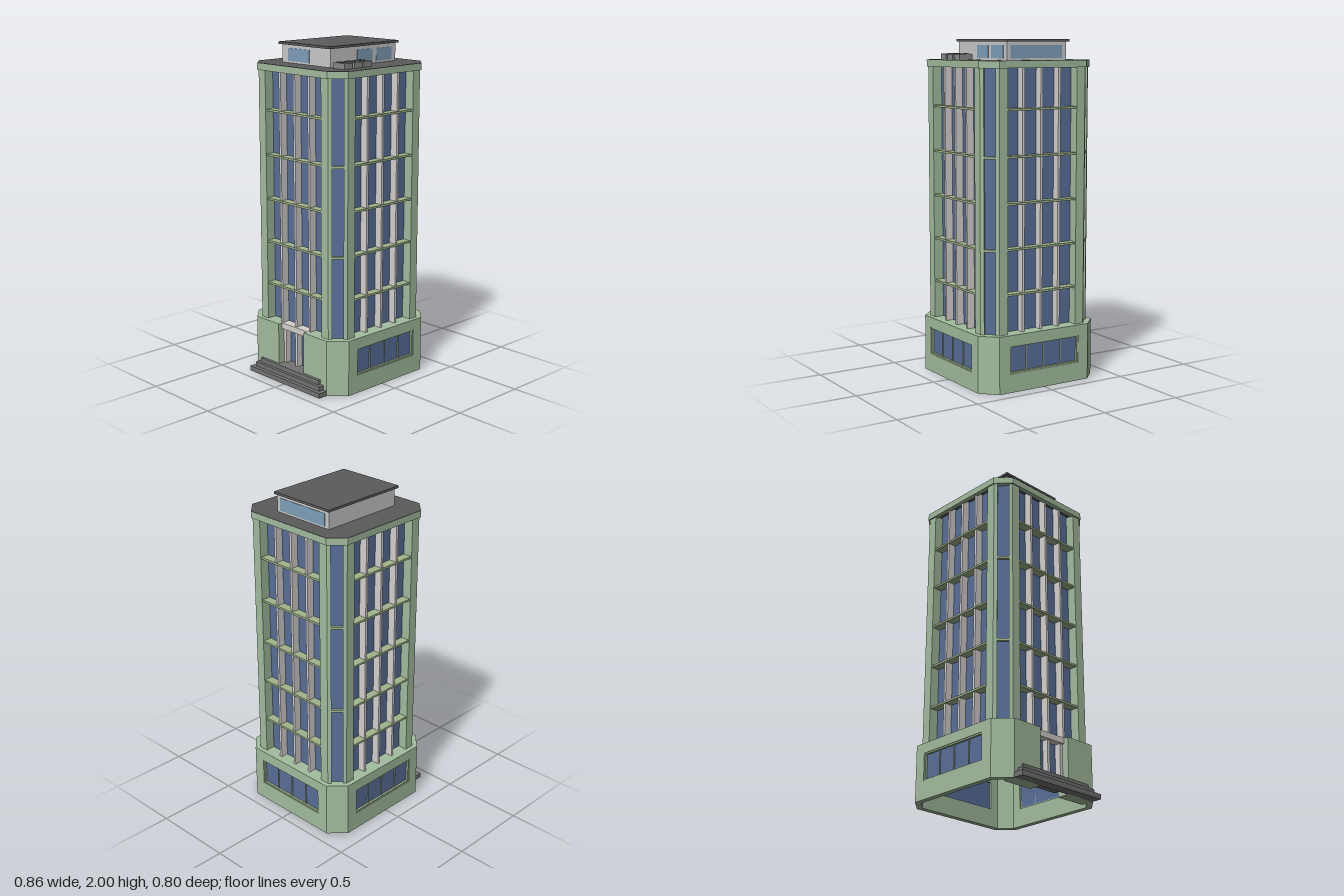
import * as THREE from 'three';

const mat = (name, color) => {
  const m = new THREE.MeshStandardMaterial({ color });
  m.name = name;
  return m;
};

export function createModel() {
  const green = mat('wall green', 0xa3bd9e);
  const trim = mat('trim green', 0xa2b58c);
  const glass = mat('blue glass', 0x586f9a);
  const paleGlass = mat('pale glass', 0x7fa0ba);
  const white = mat('fin white', 0xd6d2ce);
  const wall = mat('penthouse grey', 0xcacaca);
  const dark = mat('roof dark grey', 0x5b5b5b);
  const stone = mat('step grey', 0x737373);
  const metal = mat('unit grey', 0x8a8a8a);

  const model = new THREE.Group();
  model.name = 'officeTower';
  const tower = new THREE.Group();
  tower.name = 'building';
  tower.position.x = 0.0275;
  model.add(tower);

  const add = (parent, name, geo, m) => {
    const mesh = new THREE.Mesh(geo, m);
    mesh.name = name;
    parent.add(mesh);
    return mesh;
  };
  // Box given by its limits on each axis
  const box = (parent, name, m, x0, x1, y0, y1, z0, z1) => {
    const mesh = add(parent, name, new THREE.BoxGeometry(x1 - x0, y1 - y0, z1 - z0), m);
    mesh.position.set((x0 + x1) / 2, (y0 + y1) / 2, (z0 + z1) / 2);
    return mesh;
  };
  // Upright prism from a plan of [x, z] points, with an optional hole
  const prism = (parent, name, m, plan, y0, y1, hole) => {
    const toVec = ([x, z]) => new THREE.Vector2(x, -z);
    const shape = new THREE.Shape(plan.map(toVec));
    if (hole) shape.holes.push(new THREE.Path(hole.map(toVec)));
    const geo = new THREE.ExtrudeGeometry(shape, { depth: y1 - y0, bevelEnabled: false });
    geo.rotateX(-Math.PI / 2).translate(0, y0, 0);
    return add(parent, name, geo, m);
  };
  const octagon = (h, f) => [[-f, h], [f, h], [h, f], [h, -f], [f, -h], [-f, -h], [-h, -f], [-h, f]];
  const square = (h) => [[-h, h], [h, h], [h, -h], [-h, -h]];

  const BASE = 0.335, TOP = 1.84;

  // Four sides, each built facing +z and turned; side 3 holds the entrance
  for (let k = 0; k < 4; k++) {
    const side = new THREE.Group();
    side.name = 'side' + k;
    side.rotation.y = k * Math.PI / 2;
    tower.add(side);

    // Base wall
    if (k < 3) {
      const s = new THREE.Shape([[-0.308, 0], [0.308, 0], [0.308, BASE], [-0.308, BASE]]
        .map(([x, y]) => new THREE.Vector2(x, y)));
      s.holes.push(new THREE.Path([[-0.24, 0.11], [-0.24, 0.275], [0.24, 0.275], [0.24, 0.11]]
        .map(([x, y]) => new THREE.Vector2(x, y))));
      add(side, 'baseWall', new THREE.ExtrudeGeometry(s, { depth: 0.035, bevelEnabled: false }), green)
        .position.z = 0.363;
      box(side, 'baseWindow', glass, -0.24, 0.24, 0.11, 0.275, 0.375, 0.381);
      for (const x of [-0.12, 0, 0.12])
        box(side, 'baseMullion', trim, x - 0.003, x + 0.003, 0.11, 0.275, 0.375, 0.387);
      for (const s2 of [-1, 1]) {
        box(side, 'baseFrameSide', trim, s2 * 0.236 - 0.005, s2 * 0.236 + 0.005, 0.11, 0.275, 0.375, 0.394);
        box(side, 'baseFrameRail', trim, -0.24, 0.24, 0.1925 + s2 * 0.079 - 0.005, 0.1925 + s2 * 0.079 + 0.005, 0.375, 0.394);
      }
    } else {
      for (const s of [-1, 1]) {
        const x0 = s < 0 ? -0.308 : 0.11;
        box(side, 'entranceWall', green, x0, x0 + 0.198, 0, BASE, 0.315, 0.398);
      }
      box(side, 'canopy', white, -0.11, 0.11, 0.3, BASE + 0.001, 0.28, 0.37);
      box(side, 'entranceGlass', glass, -0.11, 0.11, 0.08, 0.3, 0.312, 0.318);
      for (const x of [-0.1, 0, 0.1])
        box(side, 'entrancePost', white, x - 0.01, x + 0.01, 0.08, 0.3, 0.312, 0.355);
      box(side, 'porch', stone, -0.11, 0.11, 0.03, 0.085, 0.29, 0.4);
    }
    // Chamfered base corner
    prism(side, 'baseCorner', green, [[0.308, 0.398], [0.398, 0.308], [0.363, 0.295], [0.295, 0.363]], 0, BASE);

    // Tower curtain wall
    box(side, 'towerGlass', glass, -0.24, 0.24, BASE, TOP + 0.02, 0.306, 0.312);
    for (const y of [0.56, 0.82, 1.08, 1.345, 1.61])
      box(side, 'floorBeam', trim, -0.238, 0.238, y - 0.006, y + 0.006, 0.31, 0.365);

    // Pillars wrap round onto the chamfers
    for (const s of [-1, 1])
      prism(side, 'pillar', green,
        [[0.235, 0.3], [0.235, 0.37], [0.292, 0.37], [0.3076, 0.3544], [0.2726, 0.3194]].map(([x, z]) => [s * x, z]),
        BASE, TOP + 0.01);

    // Narrow corner window
    const corner = new THREE.Group();
    corner.name = 'cornerBay';
    corner.rotation.y = Math.PI / 4;
    side.add(corner);
    box(corner, 'cornerGlass', glass, -0.036, 0.036, BASE, TOP + 0.02, 0.442, 0.448);
    for (const y of [0.82, 1.345])
      box(corner, 'cornerBeam', trim, -0.034, 0.034, y - 0.007, y + 0.007, 0.44, 0.464);
  }

  // Ledge on top of the base, notched at the entrance
  prism(tower, 'baseLedge', green,
    [...octagon(0.398, 0.308).slice(0, 7), [-0.398, -0.11], [-0.3, -0.11], [-0.3, 0.11], [-0.398, 0.11], [-0.398, 0.308]],
    0.318, BASE + 0.0005, square(0.28));

  // White fins run right through the tower both ways
  for (const p of [-0.122, 0, 0.122]) {
    box(tower, 'fin', white, p - 0.008, p + 0.008, BASE, 1.865, -0.358, 0.358);
    box(tower, 'crossFin', white, -0.358, 0.358, BASE, 1.865, p - 0.008, p + 0.008);
  }

  // Cornice band and roof
  prism(tower, 'cornice', green, octagon(0.378, 0.295), TOP, 1.879, octagon(0.35, 0.28));
  prism(tower, 'roof', dark, octagon(0.377, 0.2945), 1.862, 1.881);

  // Entrance steps
  [[-0.43, 0.31, 0, 0.03], [-0.406, 0.283, 0.03, 0.058], [-0.388, 0.258, 0.058, 0.085]].forEach(([x, z, y0, y1]) =>
    box(model, 'step', stone, x, -0.362, y0, y1, -z, z - 0.003));

  // Penthouse
  box(model, 'penthouse', wall, -0.22, 0.306, 1.88, 1.988, -0.22, 0.184);
  box(model, 'penthouseRoof', dark, -0.236, 0.322, 1.986, 2, -0.235, 0.193);
  for (const [a, b] of [[-0.01, 0.112], [0.146, 0.272]])
    box(model, 'penthouseWindow', paleGlass, a, b, 1.892, 1.966, 0.18, 0.187);
  box(model, 'penthouseSideWindow', paleGlass, 0.302, 0.309, 1.892, 1.966, -0.19, 0.16);
  box(model, 'penthouseRearWindow', paleGlass, -0.223, -0.216, 1.892, 1.966, -0.17, 0.01);

  // Rooftop cooling units with fans
  for (const x of [-0.198, -0.12, -0.043]) {
    box(model, 'coolingUnit', metal, x - 0.031, x + 0.031, 1.88, 1.914, 0.216, 0.304);
    add(model, 'fan', new THREE.CylinderGeometry(0.028, 0.028, 0.006, 10), dark).position.set(x, 1.914, 0.246);
    add(model, 'fanHub', new THREE.CylinderGeometry(0.012, 0.012, 0.006, 10), metal).position.set(x, 1.9155, 0.246);
  }

  return model;
}
